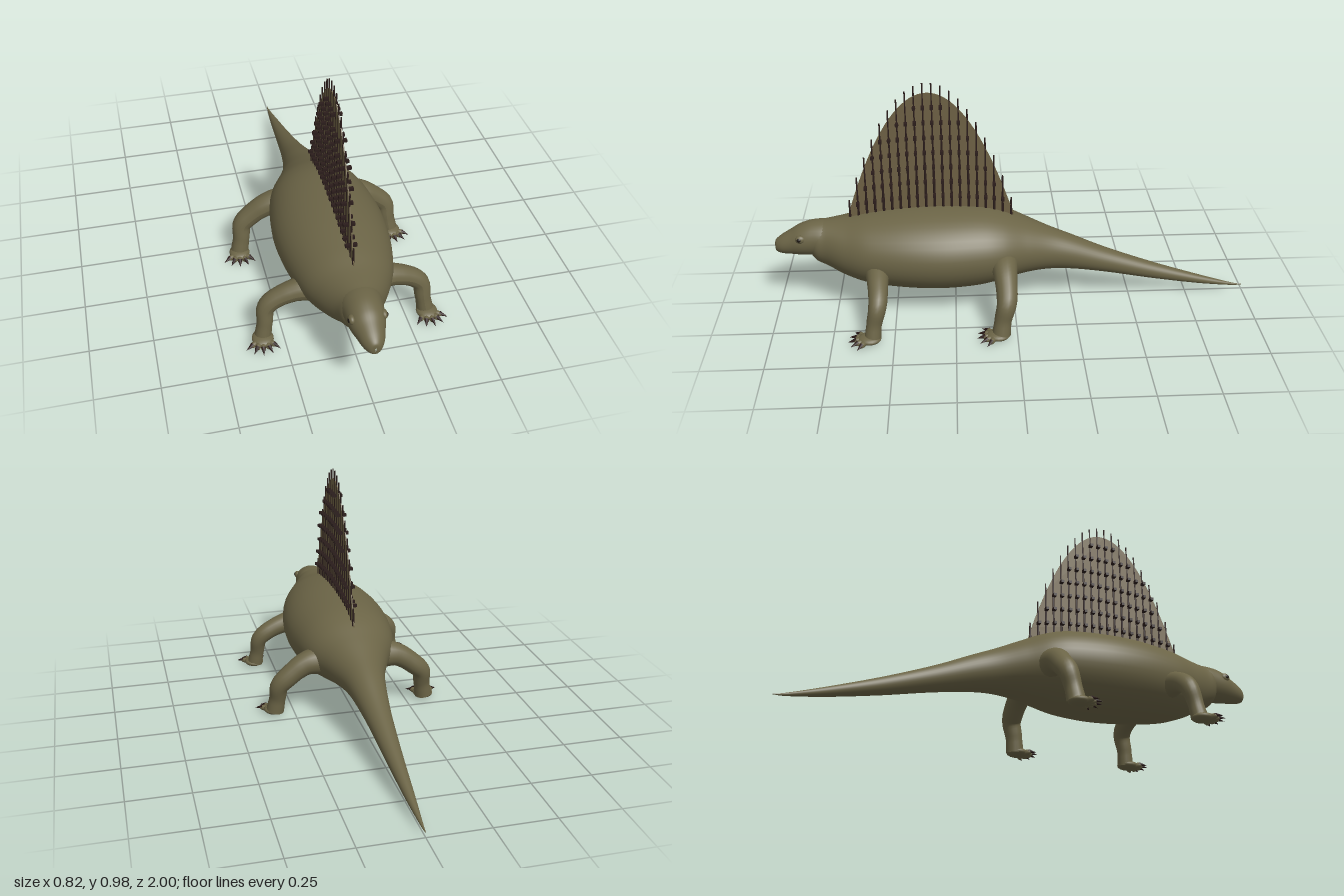
import * as THREE from 'three';

const mat = (name, color) => Object.assign(new THREE.MeshStandardMaterial({ color }), { name });
const V = (x, y, z) => new THREE.Vector3(x, y, z);

// Smooth loft along z; each section is [z, top, bottom, half width]
function loft(sections, steps, sides) {
  const upper = new THREE.CatmullRomCurve3(sections.map(([z, t, , w]) => V(w, t, z)), false, 'catmullrom');
  const lower = new THREE.CatmullRomCurve3(sections.map(([z, , b, w]) => V(w, b, z)), false, 'catmullrom');
  const pos = [], index = [];
  for (let i = 0; i <= steps; i++) {
    const u = upper.getPoint(i / steps), l = lower.getPoint(i / steps);
    const w = Math.max(u.x, 0.0005), h = Math.max((u.y - l.y) / 2, 0.0005);
    for (let j = 0; j < sides; j++) {
      const a = (j / sides) * Math.PI * 2;
      pos.push(w * Math.cos(a), (u.y + l.y) / 2 + h * Math.sin(a), u.z);
      if (i === steps) continue;
      const p = i * sides + j, q = i * sides + ((j + 1) % sides);
      index.push(p, p + sides, q, q, p + sides, q + sides);
    }
  }
  const g = new THREE.BufferGeometry();
  g.setAttribute('position', new THREE.Float32BufferAttribute(pos, 3));
  g.setIndex(index);
  g.computeVertexNormals();
  return g;
}

// Tube whose radius follows a list of values along its path
function taperedTube(points, radii, steps = 28, sides = 18) {
  const curve = new THREE.CatmullRomCurve3(points);
  const g = new THREE.TubeGeometry(curve, steps, 1, sides);
  const p = g.attributes.position, v = V(0, 0, 0);
  for (let i = 0; i <= steps; i++) {
    const c = curve.getPointAt(i / steps);
    const f = (i / steps) * (radii.length - 1), k = Math.min(Math.floor(f), radii.length - 2);
    const r = THREE.MathUtils.lerp(radii[k], radii[k + 1], f - k);
    for (let j = 0; j <= sides; j++) {
      const n = i * (sides + 1) + j;
      v.fromBufferAttribute(p, n).sub(c).multiplyScalar(r).add(c);
      p.setXYZ(n, v.x, v.y, v.z);
    }
  }
  g.computeVertexNormals();
  return g;
}

export function createModel() {
  const model = new THREE.Group();
  const skin = mat('olive skin', 0x6b6446);
  const web = mat('sail membrane', 0x6e6144);
  const bone = mat('dark spine', 0x2b1d1b);
  const claw = mat('dark claw', 0x2a1917);
  const eyeMat = mat('eye', 0x1c1612);
  const add = (parent, name, geometry, material) => {
    const m = new THREE.Mesh(geometry, material);
    m.name = name;
    parent.add(m);
    return m;
  };
  const ball = new THREE.SphereGeometry(1, 20, 14);

  // Trunk and tail
  add(model, 'bodyAndTail', loft([
    [0.87, 0.35, 0.27, 0.03], [0.83, 0.382, 0.212, 0.075], [0.78, 0.388, 0.185, 0.095],
    [0.70, 0.398, 0.145, 0.14], [0.60, 0.418, 0.115, 0.185], [0.45, 0.436, 0.097, 0.218],
    [0.30, 0.441, 0.09, 0.228], [0.15, 0.434, 0.098, 0.212], [0.05, 0.412, 0.118, 0.185],
    [-0.05, 0.37, 0.136, 0.135], [-0.15, 0.325, 0.141, 0.094], [-0.25, 0.283, 0.134, 0.072],
    [-0.40, 0.217, 0.11, 0.052], [-0.60, 0.142, 0.07, 0.035], [-0.80, 0.076, 0.036, 0.02],
    [-0.95, 0.031, 0.018, 0.006], [-1, 0.021, 0.018, 0.001],
  ], 110, 40), skin);

  // Head
  add(model, 'head', loft([
    [1, 0.285, 0.27, 0.002], [0.995, 0.303, 0.252, 0.022], [0.97, 0.323, 0.243, 0.041],
    [0.93, 0.347, 0.24, 0.055], [0.89, 0.37, 0.237, 0.068], [0.84, 0.385, 0.235, 0.075],
    [0.78, 0.386, 0.235, 0.08], [0.74, 0.37, 0.26, 0.06],
  ], 50, 32), skin);

  // Sail membrane
  const sailTop = z => 0.40 + 0.543 * (1 - ((z - 0.345) / 0.345) ** 2);
  const backTop = z => 0.44 - 0.3 * (z - 0.32) ** 2;
  const outline = new THREE.Shape();
  outline.moveTo(0, 0.36);
  for (let i = 0; i <= 40; i++) outline.lineTo(i * 0.01725, sailTop(i * 0.01725));
  outline.lineTo(0.69, 0.36);
  const sail = new THREE.ExtrudeGeometry(outline, { depth: 0.004, bevelEnabled: false });
  sail.translate(0, 0, -0.002).rotateY(-Math.PI / 2);
  add(model, 'sail', sail, web);

  // Sail spines with short crossbars
  const spines = new THREE.Group();
  spines.name = 'sailSpines';
  model.add(spines);
  const bar = new THREE.BoxGeometry(0.046, 0.012, 0.013);
  for (let i = 0; i < 20; i++) {
    const z = 0.01 + i * 0.0352, base = backTop(z) - 0.03, tip = sailTop(z) + 0.042;
    const spine = add(spines, 'spine', new THREE.CylinderGeometry(0.003, 0.0065, tip - base, 8), bone);
    spine.position.set(0, (base + tip) / 2, z);
    for (let y = backTop(z) + 0.055; y < sailTop(z) - 0.03; y += 0.065) {
      add(spines, 'crossbar', bar, bone).position.set(0, y, z);
    }
  }

  // Eyes and legs on both sides
  for (const s of [1, -1]) {
    const side = s > 0 ? 'left' : 'right';
    const lid = add(model, side + 'EyeLid', ball, skin);
    lid.position.set(s * 0.06, 0.33, 0.885);
    lid.scale.set(0.014, 0.018, 0.021);
    const eye = add(model, side + 'Eye', ball, eyeMat);
    eye.position.set(s * 0.069, 0.331, 0.889);
    eye.scale.set(0.007, 0.009, 0.01);

    for (const [name, z, hipY, girth] of [['Front', 0.565, 0.215, 1], ['Hind', 0.045, 0.235, 1.12]]) {
      const leg = new THREE.Group();
      leg.name = side + name + 'Leg';
      model.add(leg);
      add(leg, 'limb', taperedTube([
        V(s * 0.10, hipY + 0.005, z + 0.005), V(s * 0.20, hipY - 0.005, z), V(s * 0.285, 0.172, z - 0.004),
        V(s * 0.314, 0.14, z), V(s * 0.321, 0.085, z + 0.013), V(s * 0.332, 0.018, z + 0.022),
      ], [0.062, 0.052, 0.044, 0.04, 0.038, 0.034, 0.031, 0.034].map(r => r * girth)), skin);

      // Foot with five clawed toes fanned forward
      const foot = new THREE.Group();
      foot.name = 'foot';
      foot.position.set(s * 0.335, 0, z + 0.035);
      leg.add(foot);
      const palm = add(foot, 'palm', ball, skin);
      palm.position.set(0, 0.018, 0);
      palm.scale.set(0.043, 0.018, 0.048);
      for (let t = 0; t < 5; t++) {
        const toe = new THREE.Group();
        toe.name = 'toe';
        toe.rotation.y = s * (-0.75 + t * 0.44);
        foot.add(toe);
        const pad = add(toe, 'toePad', ball, skin);
        pad.position.set(0, 0.015, 0.043);
        pad.scale.set(0.011, 0.012, 0.024);
        const nail = add(toe, 'claw', new THREE.ConeGeometry(0.0095, 0.036, 8), claw);
        nail.position.set(0, 0.014, 0.07);
        nail.rotation.x = Math.PI / 2 + 0.25;
      }
    }
  }
  return model;
}
